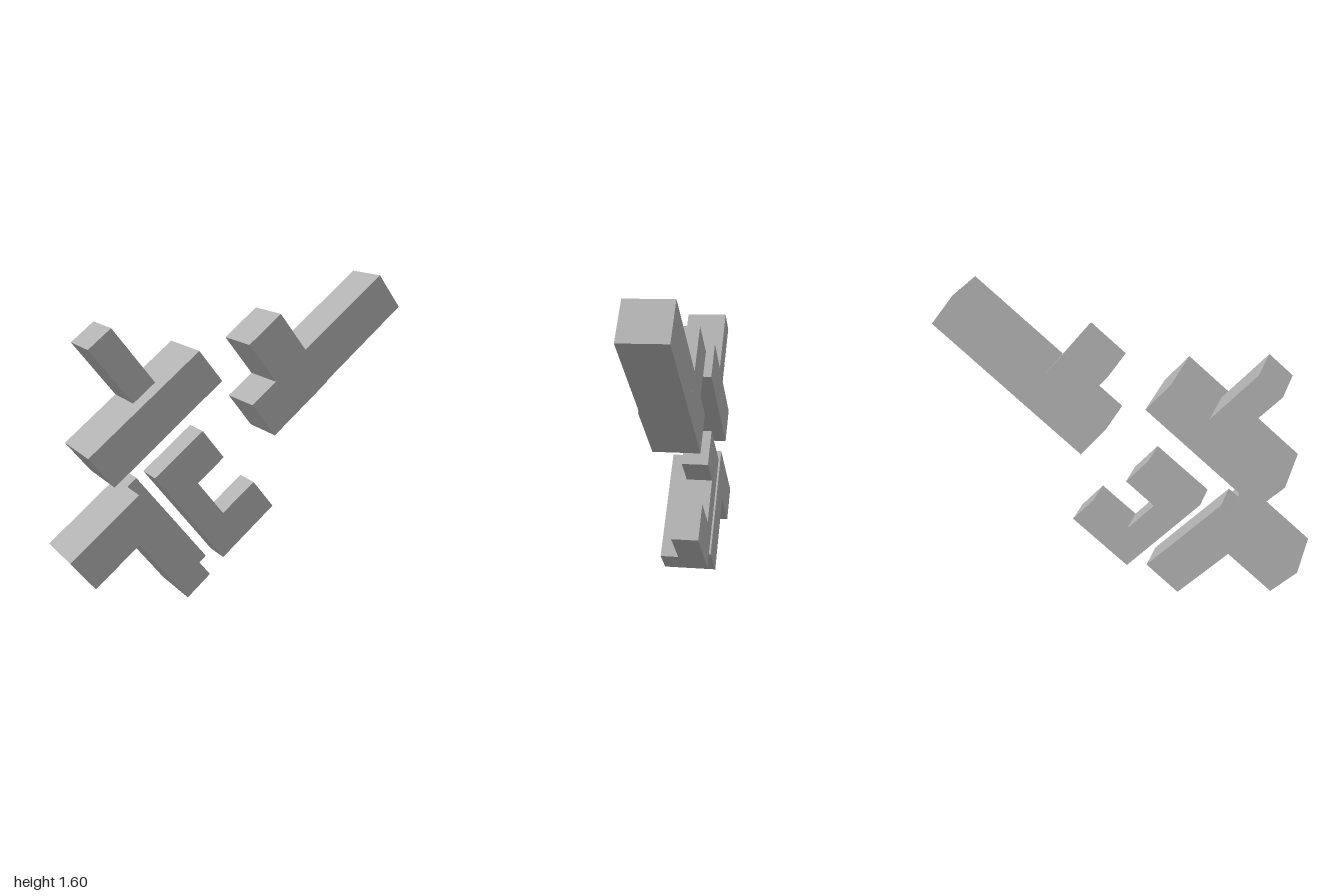
import * as THREE from 'three';

const BACK = -0.155;

export function createModel() {
  const group = new THREE.Group();
  const grey = new THREE.MeshStandardMaterial({ color: 0xb0b0b0 });
  grey.name = 'plain grey';

  // Straight prism from the shared back plane to the given front depth
  function prism(name, front, points, parent) {
    const shape = new THREE.Shape(points.map(([x, y]) => new THREE.Vector2(x, y)));
    const geometry = new THREE.ExtrudeGeometry(shape, { depth: front - BACK, bevelEnabled: false });
    geometry.translate(0, 0, BACK);
    const mesh = new THREE.Mesh(geometry, grey);
    mesh.name = name;
    parent.add(mesh);
  }

  function piece(name) {
    const g = new THREE.Group();
    g.name = name;
    group.add(g);
    return g;
  }

  // T-shaped block with a thinner stem
  const tee = piece('teeBlock');
  prism('teeBar', 0.155, [[-0.89, 0.85], [-0.76, 0.685], [-0.163, 1.145], [-0.29, 1.31]], tee);
  prism('teeStem', 0.065, [[-0.834, 1.353], [-0.61, 1.065], [-0.49, 1.157], [-0.712, 1.446]], tee);

  // Long arm with a forked, slightly thicker head
  const arm = piece('forkedArm');
  prism('armHead', 0.095, [
    [0.03, 1.298], [0.192, 1.087], [0.05, 0.978], [0.19, 0.795], [0.52, 1.05], [0.218, 1.442],
  ], arm);
  prism('armBar', 0.088, [[0.378, 1.235], [0.52, 1.05], [0.995, 1.418], [0.855, 1.6]], arm);

  // Angle block with a low ledge along its long side
  const angle = piece('angleBlock');
  prism('angleBody', 0.14, [
    [-1, 0.332], [-0.873, 0.168], [-0.632, 0.353], [-0.365, 0.003], [-0.233, 0.107], [-0.627, 0.618],
  ], angle);
  prism('angleLedge', 0, [[-0.627, 0.618], [-0.233, 0.107], [-0.182, 0.148], [-0.577, 0.658]], angle);

  // Shallow U-shaped block
  const channel = piece('channelBlock');
  prism('channelBody', -0.013, [
    [-0.467, 0.632], [-0.067, 0.11], [0.248, 0.352], [0.124, 0.512],
    [-0.067, 0.367], [-0.217, 0.563], [-0.062, 0.683], [-0.186, 0.845],
  ], channel);

  return group;
}
